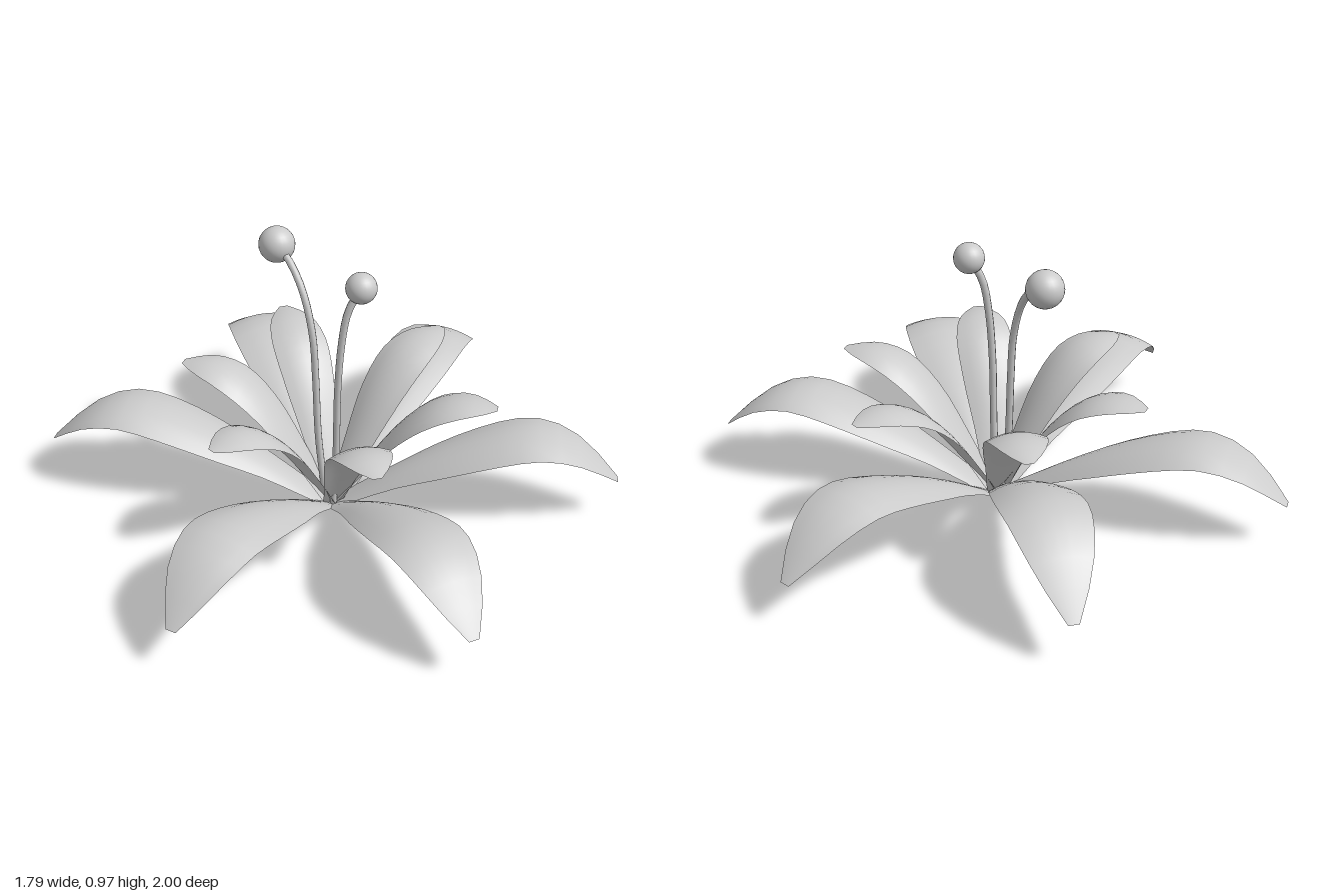
import * as THREE from 'three';

const material = new THREE.MeshStandardMaterial({ color: 0xcccccc, side: THREE.DoubleSide });
const CENTRE = new THREE.Vector2(-0.015, 0);

// smooth curve through [t, value] pairs
function profile(points) {
  const curve = new THREE.SplineCurve(points.map(([t, v]) => new THREE.Vector2(t, v)));
  const samples = curve.getPoints(200);
  return (t) => {
    const i = samples.findIndex((p) => p.x >= t - 1e-6);
    if (i <= 0) return samples[i < 0 ? 200 : 0].y;
    const a = samples[i - 1], b = samples[i];
    return a.y + (b.y - a.y) * (t - a.x) / (b.x - a.x);
  };
}

const outerShape = {
  height: profile([[0, 0], [0.25, 0.165], [0.5, 0.285], [0.7, 0.33], [0.86, 0.275], [1, 0.15]]),
  width: profile([[0, 0.04], [0.2, 0.075], [0.4, 0.12], [0.62, 0.14], [0.8, 0.118], [0.92, 0.07], [1, 0.018]]),
  droop: 0.035,
};
const innerShape = {
  height: profile([[0, 0], [0.2, 0.19], [0.4, 0.35], [0.6, 0.45], [0.8, 0.484], [1, 0.47]]),
  width: profile([[0, 0.035], [0.2, 0.06], [0.4, 0.088], [0.62, 0.1], [0.8, 0.083], [0.92, 0.05], [1, 0.015]]),
  droop: 0.03,
};

// arched leaf-shaped sheet from the centre out to a tip at (x, z)
function petal(name, shape, [x, z, lift = 0]) {
  const rows = 14, cols = 6;
  const geometry = new THREE.PlaneGeometry(1, 1, cols, rows);
  const position = geometry.attributes.position;
  const along = new THREE.Vector2(x, z).sub(CENTRE);
  const side = new THREE.Vector2(-along.y, along.x).normalize();
  for (let i = 0; i < position.count; i++) {
    const t = 0.5 + position.getY(i);
    const s = position.getX(i) * 2;
    const w = shape.width(t);
    const reach = 0.02 + 0.98 * t;
    const sag = shape.droop * s * s * Math.sin(Math.PI * t);
    position.setXYZ(i,
      CENTRE.x + along.x * reach + side.x * w * s,
      shape.height(t) + lift * Math.sin(Math.PI * t) - sag,
      CENTRE.y + along.y * reach + side.y * w * s);
  }
  // turn the faces so that the normals point up
  const index = geometry.index;
  for (let i = 0; i < index.count; i += 3) {
    const b = index.getX(i + 1);
    index.setX(i + 1, index.getX(i + 2));
    index.setX(i + 2, b);
  }
  geometry.computeVertexNormals();
  const mesh = new THREE.Mesh(geometry, material);
  mesh.name = name;
  return mesh;
}

// bent stalk with a round head on its end
function stamen(name, points, radius) {
  const group = new THREE.Group();
  group.name = name;
  const path = new THREE.CatmullRomCurve3(points.map((p) => new THREE.Vector3(...p)));
  const stalk = new THREE.Mesh(new THREE.TubeGeometry(path, 24, 0.013, 8), material);
  stalk.name = 'stalk';
  const head = new THREE.Mesh(new THREE.SphereGeometry(radius, 24, 16), material);
  head.name = 'head';
  head.position.set(...points[points.length - 1]);
  group.add(stalk, head);
  return group;
}

export function createModel() {
  const model = new THREE.Group();
  model.name = 'flower';

  // wide lower ring; the rear petal arches slightly higher
  const outerTips = [[-0.02, -1, 0.045], [0.79, -0.61], [0.885, 0.43], [0.065, 0.995], [-0.78, 0.625], [-0.885, -0.535]];
  // steeper upper ring
  const innerTips = [[0.02, -0.6], [0.51, -0.25], [0.46, 0.31], [-0.065, 0.53], [-0.505, 0.2], [-0.435, -0.36]];
  outerTips.forEach((tip) => model.add(petal('outerPetal', outerShape, tip)));
  innerTips.forEach((tip) => model.add(petal('innerPetal', innerShape, tip)));

  // stamens
  model.add(stamen('frontStamen', [
    [-0.02, 0.01, 0.025], [-0.015, 0.25, 0.04], [-0.012, 0.5, 0.047],
    [0, 0.68, 0.052], [0.022, 0.8, 0.055], [0.065, 0.88, 0.06]], 0.053));
  model.add(stamen('backStamen', [
    [-0.03, 0.01, -0.03], [-0.045, 0.25, -0.055], [-0.048, 0.48, -0.07],
    [-0.052, 0.65, -0.088], [-0.066, 0.79, -0.14], [-0.085, 0.87, -0.21], [-0.105, 0.905, -0.285]], 0.063));
  return model;
}
